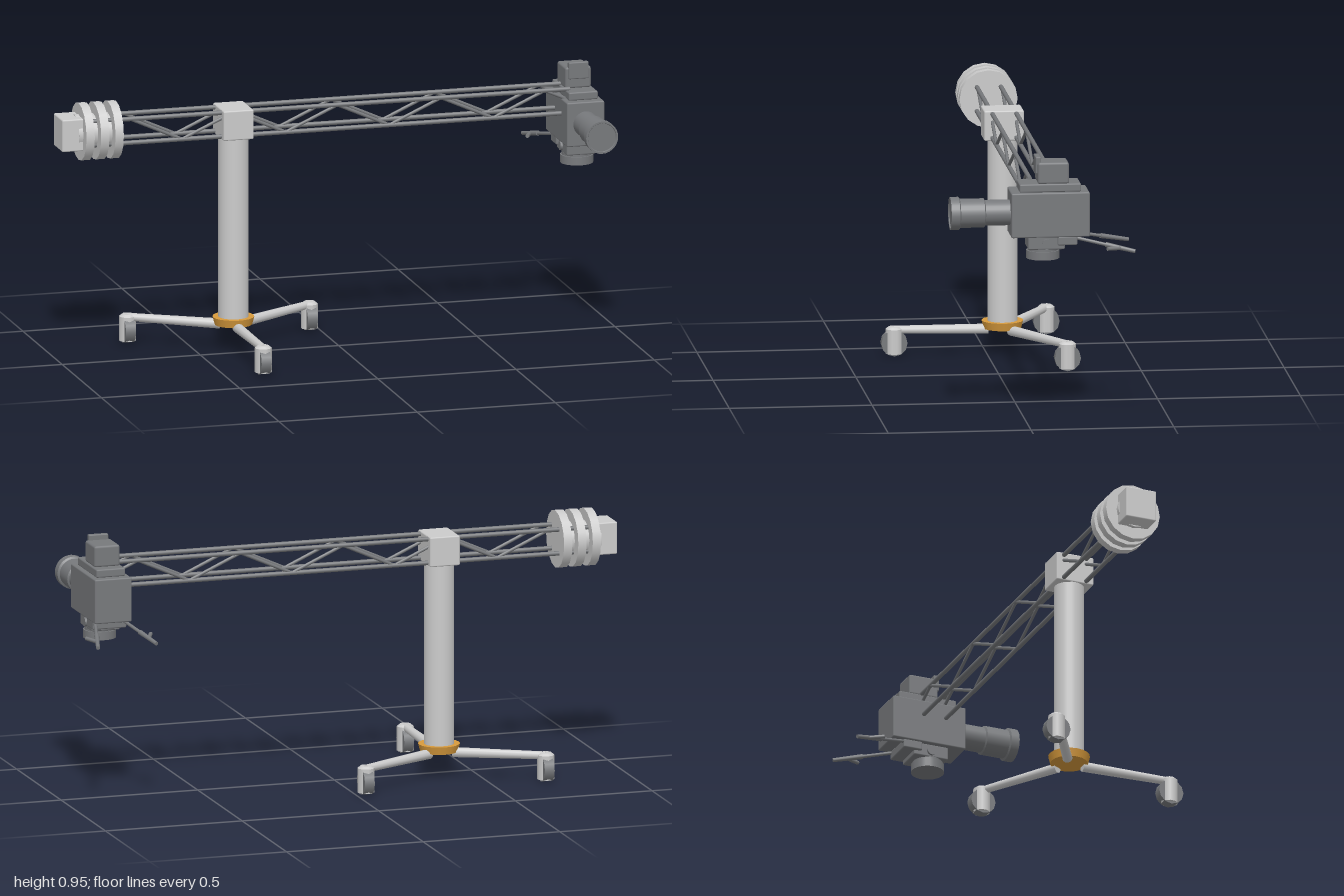
import * as THREE from 'three';
import { RoundedBoxGeometry } from 'three/addons/geometries/RoundedBoxGeometry.js';

const grey = new THREE.MeshStandardMaterial({ color: 0xcccccc });
const dark = new THREE.MeshStandardMaterial({ color: 0x77797c });
const gold = new THREE.MeshStandardMaterial({ color: 0xd79a3c });
const V = (x, y, z) => new THREE.Vector3(x, y, z);

export function createModel() {
  const root = new THREE.Group();

  function group(name, parent = root) {
    const g = new THREE.Group();
    g.name = name;
    parent.add(g);
    return g;
  }
  function add(name, geometry, material, parent) {
    const m = new THREE.Mesh(geometry, material);
    m.name = name;
    parent.add(m);
    return m;
  }
  // Bevelled box given by its minimum and maximum corners
  function box(name, a, b, material, parent, bevel = 0.005) {
    const g = new RoundedBoxGeometry(b[0] - a[0], b[1] - a[1], b[2] - a[2], 1, bevel);
    add(name, g, material, parent)
      .position.set((a[0] + b[0]) / 2, (a[1] + b[1]) / 2, (a[2] + b[2]) / 2);
  }
  // Round bar from p to q, optionally tapered
  function bar(name, p, q, r, material, parent, sides = 16, r2 = r) {
    const d = q.clone().sub(p);
    const m = add(name, new THREE.CylinderGeometry(r2, r, d.length(), sides), material, parent);
    m.position.copy(p).add(q).multiplyScalar(0.5);
    m.quaternion.setFromUnitVectors(V(0, 1, 0), d.normalize());
    return m;
  }

  const px = -0.365, cz = -0.055; // column axis

  // Pedestal: column, hub, three legs with casters
  const pedestal = group('pedestal');
  bar('column', V(px, 0.1, cz), V(px, 0.78, cz), 0.053, grey, pedestal, 24);
  bar('hub', V(px, 0.09, cz), V(px, 0.118, cz), 0.066, gold, pedestal, 20, 0.073);
  for (let i = 0; i < 3; i++) {
    const a = i * Math.PI * 2 / 3;
    const at = (r, y) => V(px + Math.sin(a) * r, y, cz + Math.cos(a) * r);
    bar('leg', at(0.05, 0.088), at(0.38, 0.092), 0.018, grey, pedestal, 10, 0.014);
    const c = at(0.38, 0);
    const caster = group('caster', pedestal);
    caster.position.copy(c);
    bar('casterHousing', V(0, 0.008, 0), V(0, 0.095, 0), 0.03, grey, caster, 10);
    bar('casterCap', V(0, 0.095, 0), V(0, 0.103, 0), 0.03, grey, caster, 10, 0.02);
    bar('wheel', V(-0.018, 0.046, 0), V(0.018, 0.046, 0), 0.046, dark, caster, 12);
  }
  box('pivotBlock', [px - 0.055, 0.764, -0.125], [px + 0.055, 0.87, 0.015], grey, root);

  // Boom: four rails with zigzag bracing on the front and back
  const boom = group('boom');
  const top = 0.86, low = 0.775;
  for (const z of [-0.098, -0.014]) {
    for (const y of [low, top]) bar('rail', V(-0.9, y, z), V(0.84, y, z), 0.008, dark, boom, 10);
    for (let i = 0; i < 8; i++) {
      const x = -0.75 + i * 0.1875;
      bar('brace', V(x, i % 2 ? low : top, z), V(x + 0.1875, i % 2 ? top : low, z),
        0.006, dark, boom, 8);
    }
    bar('brace', V(0.75, top, z), V(0.84, 0.82, z), 0.006, dark, boom, 8);
  }

  // Counterweight: end block, core and three discs
  const weights = group('counterweight');
  box('endBlock', [-1, 0.76, -0.112], [-0.91, 0.875, 0.002], grey, weights);
  bar('weightCore', V(-0.94, 0.817, cz), V(-0.8, 0.817, cz), 0.062, grey, weights);
  for (const x of [-0.91, -0.857, -0.805]) {
    bar('weightDisc', V(x - 0.015, 0.817, cz), V(x + 0.015, 0.817, cz), 0.102, grey, weights);
  }

  // Camera; x is measured from its own middle plane
  const camera = group('camera');
  camera.position.x = 0.877;
  box('body', [-0.068, 0.67, -0.213], [0.068, 0.828, 0.062], dark, camera);
  box('topPlate', [-0.053, 0.828, -0.184], [0.053, 0.857, 0.032], dark, camera);
  box('finder', [-0.047, 0.855, -0.143], [0.047, 0.931, -0.033], dark, camera, 0.008);
  box('finderScreen', [-0.036, 0.89, -0.046], [0.036, 0.95, -0.026], dark, camera, 0.004);

  // Lens profile, turned about the z axis
  const profile = [[0, 0.05], [0.045, 0.05], [0.045, 0.148], [0.051, 0.152], [0.051, 0.236],
    [0.058, 0.24], [0.058, 0.27], [0.052, 0.27], [0.05, 0.266], [0, 0.266]];
  for (let i = 1; i < profile.length; i++) {
    const pts = [profile[i - 1], profile[i]].map(p => new THREE.Vector2(...p));
    const seg = add('lens', new THREE.LatheGeometry(pts, 28), dark, camera);
    seg.rotation.x = Math.PI / 2;
    seg.position.y = 0.75;
  }

  // Pan head under the camera
  const head = group('panHead', camera);
  box('headBlock', [-0.052, 0.624, -0.127], [0.052, 0.672, 0.002], dark, head);
  box('headRear', [-0.062, 0.64, -0.17], [0.062, 0.672, -0.1], dark, head);
  bar('headCollar', V(0, 0.612, cz), V(0, 0.626, cz), 0.053, dark, head, 24);
  bar('headBase', V(0, 0.587, cz), V(0, 0.616, cz), 0.058, dark, head, 24);
  for (const s of [-1, 1]) {
    bar('tiltKnob', V(s * 0.045, 0.646, -0.063), V(s * 0.06, 0.646, -0.063), 0.016, dark, head);
    // Pan handles
    const start = V(s * 0.052, 0.665, -0.165), end = V(s * 0.107, 0.623, -0.367);
    const mid = start.clone().lerp(end, 0.5);
    bar('handleRod', start, mid, 0.006, dark, head, 10);
    bar('handleGrip', mid, end, 0.009, dark, head, 10, 0.007);
    bar('handleLever', V(s * 0.118, 0.636, -0.268), V(s * 0.094, 0.633, -0.318), 0.007, dark, head, 10);
  }
  return root;
}
